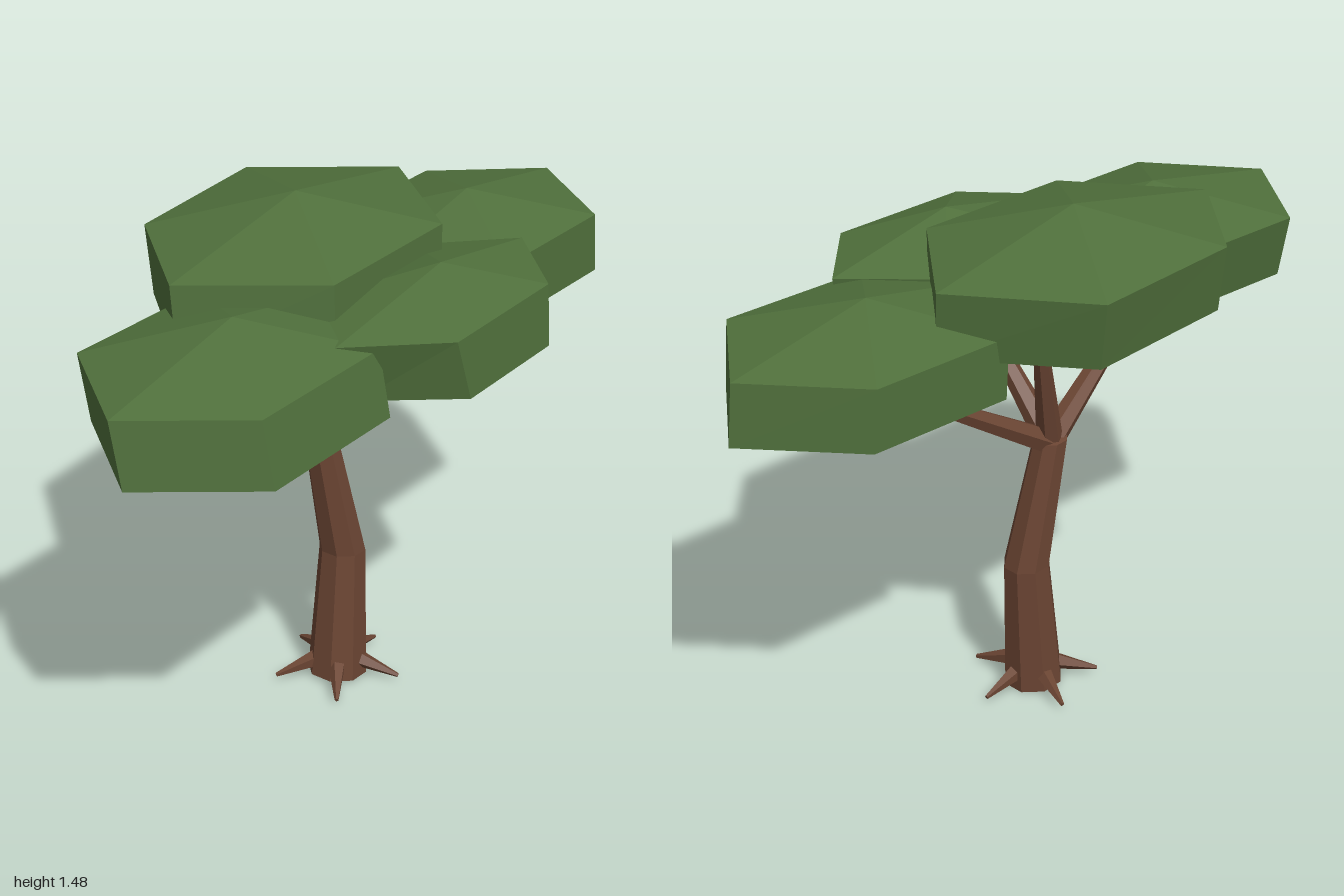
import * as THREE from 'three';

const V = (x, y, z) => new THREE.Vector3(x, y, z);

// Skin between stacked rings (bottom to top, each ordered from +x towards +z).
// A ring may be a single point, which closes that end as a fan.
function loft(rings) {
  const n = Math.max(...rings.map(r => r.length));
  const pts = [];
  const tri = (a, b, c) => {
    if (a !== b && b !== c && a !== c) pts.push(a, b, c);
  };
  for (let k = 0; k < rings.length - 1; k++) {
    const lo = rings[k], hi = rings[k + 1];
    for (let i = 0; i < n; i++) {
      const a = lo[i % lo.length], an = lo[(i + 1) % n % lo.length];
      const b = hi[i % hi.length], bn = hi[(i + 1) % n % hi.length];
      tri(a, b, an);
      tri(an, b, bn);
    }
  }
  const g = new THREE.BufferGeometry().setFromPoints(pts);
  g.computeVertexNormals();
  return g;
}

// Tapered limb from one point to another
function limb(from, to, r0, r1, sides) {
  const dir = to.clone().sub(from);
  const g = new THREE.CylinderGeometry(r1, r0, dir.length(), sides).toNonIndexed();
  g.applyQuaternion(new THREE.Quaternion().setFromUnitVectors(V(0, 1, 0), dir.normalize()));
  const mid = from.clone().add(to).multiplyScalar(0.5);
  g.translate(mid.x, mid.y, mid.z);
  g.computeVertexNormals();
  return g;
}

export function createModel() {
  const tree = new THREE.Group();
  tree.name = 'tree';
  const bark = new THREE.MeshStandardMaterial({ name: 'bark brown', color: 0x6b4533, flatShading: true });
  const leaf = new THREE.MeshStandardMaterial({ name: 'leaf green', color: 0x50703c, flatShading: true });
  const add = (name, geometry, material) => {
    const m = new THREE.Mesh(geometry, material);
    m.name = name;
    tree.add(m);
  };

  // Bent eight-sided trunk: [x, y, z, radius]
  const trunkRings = [[0.01, 0.006, -0.04, 0.086], [0.04, 0.4, -0.043, 0.067], [-0.025, 0.78, -0.07, 0.049]]
    .map(([x, y, z, r]) => Array.from({ length: 8 }, (_, i) => {
      const a = (i + 0.5) * Math.PI / 4, dx = r * Math.cos(a);
      return V(x + dx, y - dx * 0.07, z + r * Math.sin(a));
    }));
  add('trunk', loft([[V(0.01, 0.006, -0.04)], ...trunkRings, [V(-0.025, 0.79, -0.07)]]), bark);

  // Five short roots around the base
  for (let i = 0; i < 5; i++) {
    const a = i * Math.PI * 0.4;
    const at = (r, y) => V(0.01 + r * Math.cos(a), y, -0.04 + r * Math.sin(a));
    add('root', limb(at(0.055, 0.055), at(0.185, 0.017), 0.027, 0.006, 5), bark);
  }

  // Branches spreading from the top of the trunk into the crowns
  const ends = { leftBranch: [0.5, 1.08, 0], rightBranch: [-0.5, 1.08, 0.01],
    frontBranch: [-0.02, 1.12, 0.25], backBranch: [0.09, 1.18, -0.14] };
  for (const [name, end] of Object.entries(ends))
    add(name, limb(V(-0.025, 0.765, -0.068), V(...end), 0.038, 0.017, 6), bark);

  // Flat six-sided leaf crowns: upper rim as [x, z], lower rim shifted and scaled from it
  const crowns = [
    { name: 'leftCrown', top: [0.54, 1.345, 0.02], bottom: [0.53, 1.005, 0.03], y: [1.09, 1.262],
      rim: [[0.98, 0.01], [0.76, 0.308], [0.32, 0.3], [0.1, 0.02], [0.32, -0.27], [0.75, -0.262]],
      shift: [0.01, 0.003], scale: [1.01, 1] },
    { name: 'rightCrown', top: [-0.53, 1.36, 0.04], bottom: [-0.55, 0.995, 0.06], y: [1.088, 1.268],
      rim: [[-0.08, 0.04], [-0.31, 0.33], [-0.78, 0.33], [-0.998, 0.04], [-0.77, -0.262], [-0.31, -0.25]],
      shift: [0, 0.035], scale: [1, 1] },
    { name: 'frontCrown', top: [0.03, 1.37, 0.28], bottom: [0.03, 1.035, 0.28], y: [1.117, 1.29],
      rim: [[0.445, 0.265], [0.23, 0.485], [-0.2, 0.49], [-0.405, 0.265], [-0.2, 0.05], [0.23, 0.05]],
      shift: [0.02, 0.012], scale: [0.88, 1] },
    { name: 'backCrown', top: [-0.03, 1.485, -0.145], bottom: [-0.04, 1.11, -0.13], y: [1.2, 1.39],
      rim: [[0.465, -0.16], [0.2, 0.168], [-0.285, 0.172], [-0.53, -0.16], [-0.27, -0.465], [0.21, -0.502]],
      shift: [-0.01, 0.02], scale: [0.99, 0.97] },
  ];
  for (const { name, top, bottom, y, rim, shift, scale } of crowns) {
    const upper = rim.map(([x, z]) => V(x, y[1], z));
    const lower = rim.map(([x, z]) => V(
      top[0] + (x - top[0]) * scale[0] + shift[0], y[0],
      top[2] + (z - top[2]) * scale[1] + shift[1]));
    add(name, loft([[V(...bottom)], lower, upper, [V(...top)]]), leaf);
  }
  return tree;
}
